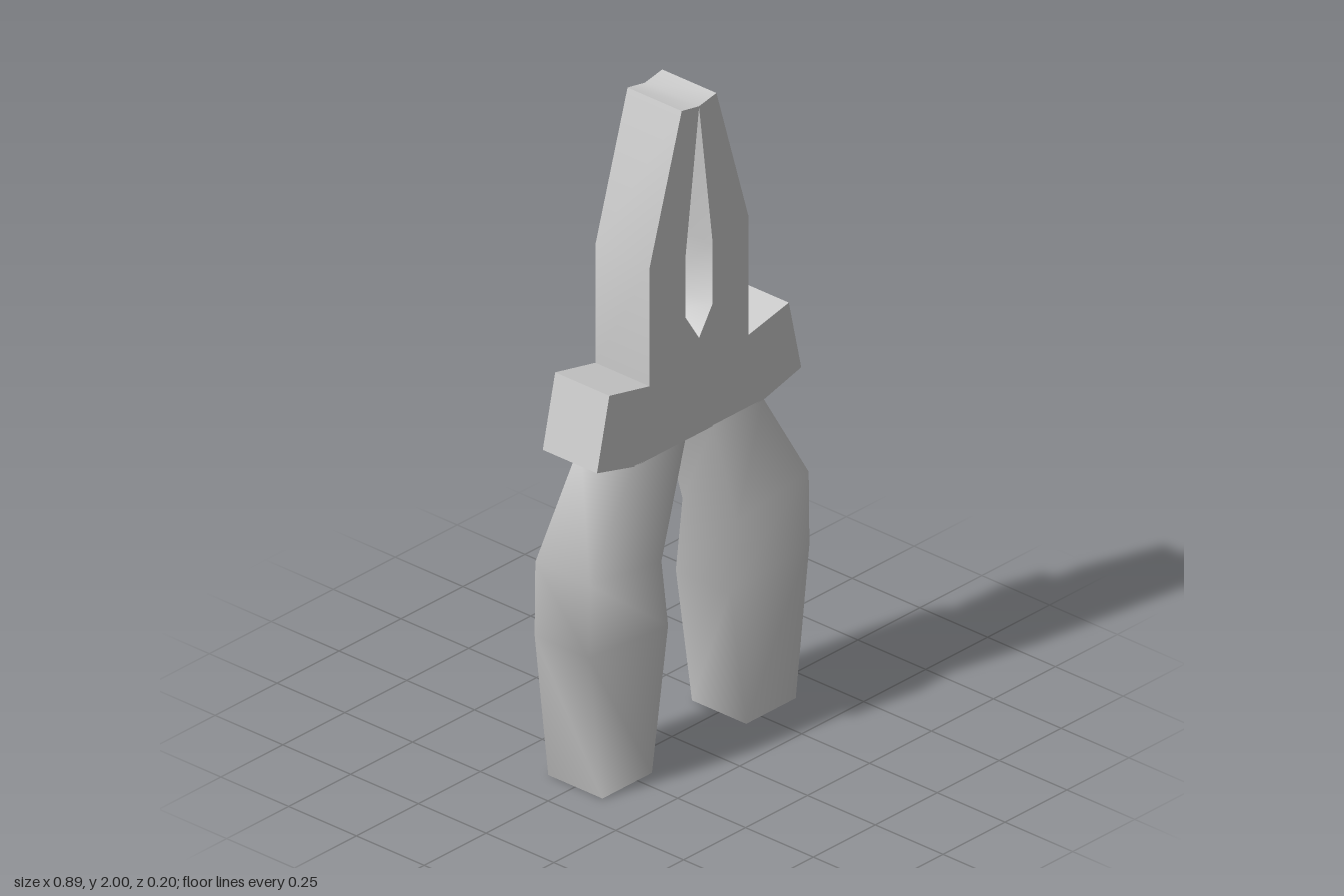
import * as THREE from 'three';
import { toCreasedNormals } from 'three/addons/utils/BufferGeometryUtils.js';

const DEPTH = 0.2;
const material = new THREE.MeshStandardMaterial({ color: 0xcccccc });

// Closed symmetric outline from the points of its +x half, bottom to top
function mirroredOutline(half) {
  const left = half.filter(([x]) => x > 0).map(([x, y]) => [-x, y]).reverse();
  return [...half, ...left].map(([x, y]) => new THREE.Vector2(x, y));
}

// Head: jaws, slot and shoulders in one extruded plate
function makeHead() {
  const shape = new THREE.Shape(mirroredOutline([
    [0.26, 0.975], [0.412, 1.015], [0.362, 1.235], [0.2, 1.2],
    [0.2, 1.565], [0.07, 2], [0, 1.987],
  ]));
  shape.holes.push(new THREE.Path(mirroredOutline([
    [0, 1.27], [0.055, 1.355], [0.055, 1.54], [0, 1.984],
  ])));
  const geometry = new THREE.ExtrudeGeometry(shape, { depth: DEPTH, bevelEnabled: false });
  geometry.translate(0, 0, -DEPTH / 2);
  const head = new THREE.Mesh(toCreasedNormals(geometry, 0.7), material);
  head.name = 'head';
  return head;
}

// Handle: rectangular sections with smooth sides and flat end caps
function makeHandle(side, name) {
  // inner x, inner y, outer x, outer y
  const sections = [
    [0.19, 0, 0.39, 0],
    [0.125, 0.43, 0.445, 0.455],
    [0.152, 0.64, 0.442, 0.68],
    [0.055, 0.978, 0.26, 0.978],
  ];
  const d = DEPTH / 2;
  const positions = [];
  const index = [];
  const quad = (a, b, c, e) => index.push(...(side > 0 ? [a, b, c, a, c, e] : [a, c, b, a, e, c]));
  const addRing = ([ix, iy, ox, oy]) => positions.push(
    side * ix, iy, d, side * ox, oy, d, side * ox, oy, -d, side * ix, iy, -d);

  sections.forEach(addRing);
  for (let s = 0; s < sections.length - 1; s++) {
    for (let i = 0; i < 4; i++) {
      const a = s * 4 + i, b = s * 4 + (i + 1) % 4;
      quad(a, b, b + 4, a + 4);
    }
  }
  // Caps have their own corners so their rims stay sharp
  const n = sections.length * 4;
  addRing(sections[0]);
  addRing(sections[sections.length - 1]);
  quad(n + 3, n + 2, n + 1, n);
  quad(n + 4, n + 5, n + 6, n + 7);

  const geometry = new THREE.BufferGeometry();
  geometry.setAttribute('position', new THREE.Float32BufferAttribute(positions, 3));
  geometry.setIndex(index);
  geometry.computeVertexNormals();
  const handle = new THREE.Mesh(geometry, material);
  handle.name = name;
  return handle;
}

export function createModel() {
  const group = new THREE.Group();
  group.name = 'pliers';
  group.add(makeHead(), makeHandle(1, 'leftHandle'), makeHandle(-1, 'rightHandle'));
  return group;
}
